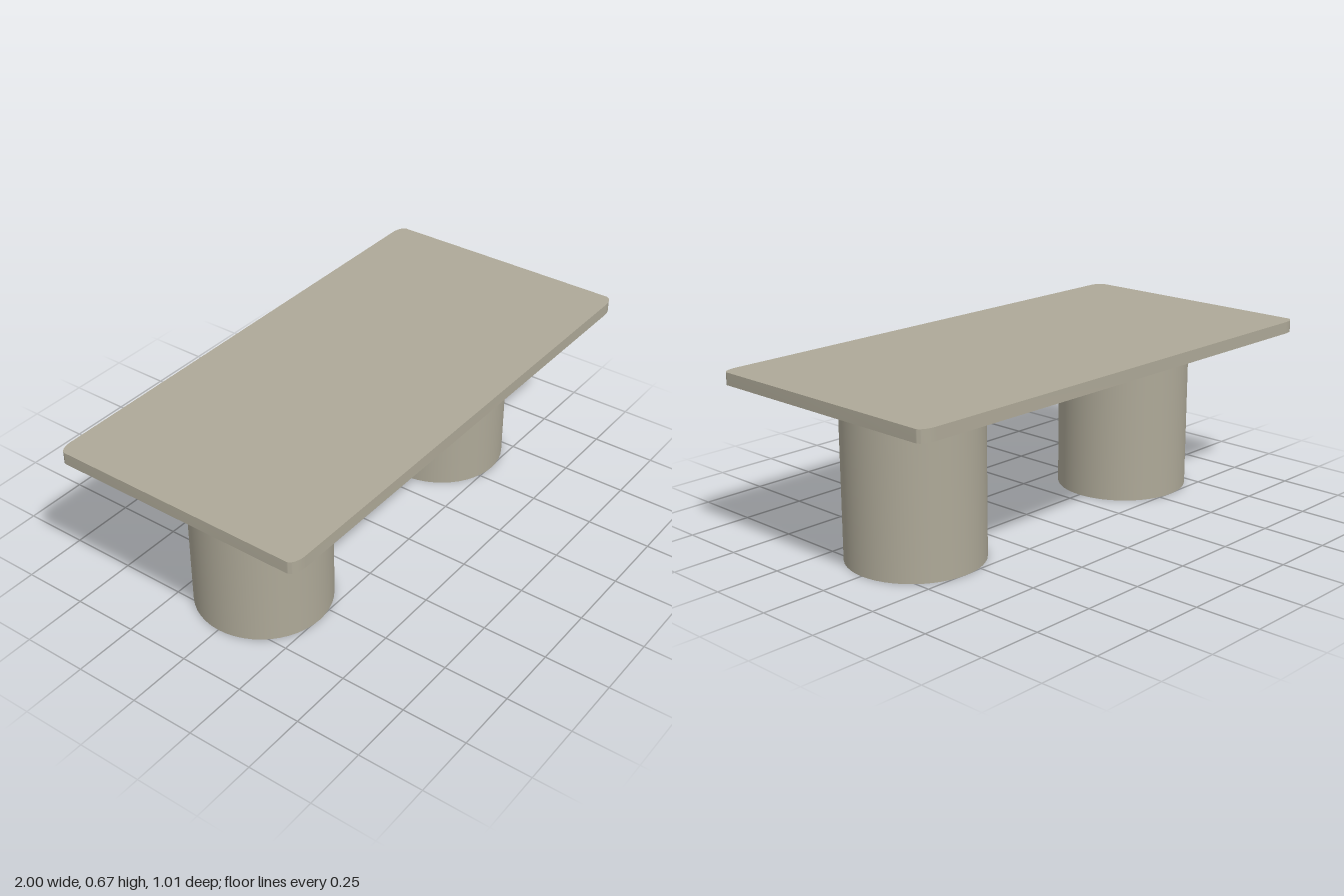
import * as THREE from 'three';
import { toCreasedNormals } from 'three/addons/utils/BufferGeometryUtils.js';

const HEIGHT = 0.672, UNDERSIDE = 0.626;

// Rectangle with slightly elongated rounded corners
function topOutline(hx, hz, rx, rz) {
  const s = new THREE.Shape();
  const corners = [[1, 1], [-1, 1], [-1, -1], [1, -1]];
  s.moveTo(hx, hz - rz);
  corners.forEach(([sx, sz], i) => {
    const a = i * Math.PI / 2;
    s.absellipse(sx * (hx - rx), sz * (hz - rz), rx, rz, a, a + Math.PI / 2, false);
  });
  s.closePath();
  return s;
}

export function createModel() {
  const model = new THREE.Group();
  model.name = 'table';
  const stone = new THREE.MeshStandardMaterial({ color: 0xaea998 });
  stone.name = 'warm grey stone';

  // Table top
  const slab = new THREE.ExtrudeGeometry(topOutline(1, 0.505, 0.06, 0.03), {
    depth: HEIGHT - UNDERSIDE, bevelEnabled: false, curveSegments: 8,
  });
  slab.rotateX(-Math.PI / 2);
  const top = new THREE.Mesh(toCreasedNormals(slab, 0.7), stone);
  top.name = 'tableTop';
  top.position.y = UNDERSIDE;
  model.add(top);

  // Two drum pedestals, set very slightly off centre
  const drum = new THREE.CylinderGeometry(0.256, 0.256, UNDERSIDE, 48);
  for (const [name, x] of [['rightPedestal', -0.562], ['leftPedestal', 0.575]]) {
    const leg = new THREE.Mesh(drum, stone);
    leg.name = name;
    leg.position.set(x, UNDERSIDE / 2, 0);
    model.add(leg);
  }
  return model;
}
